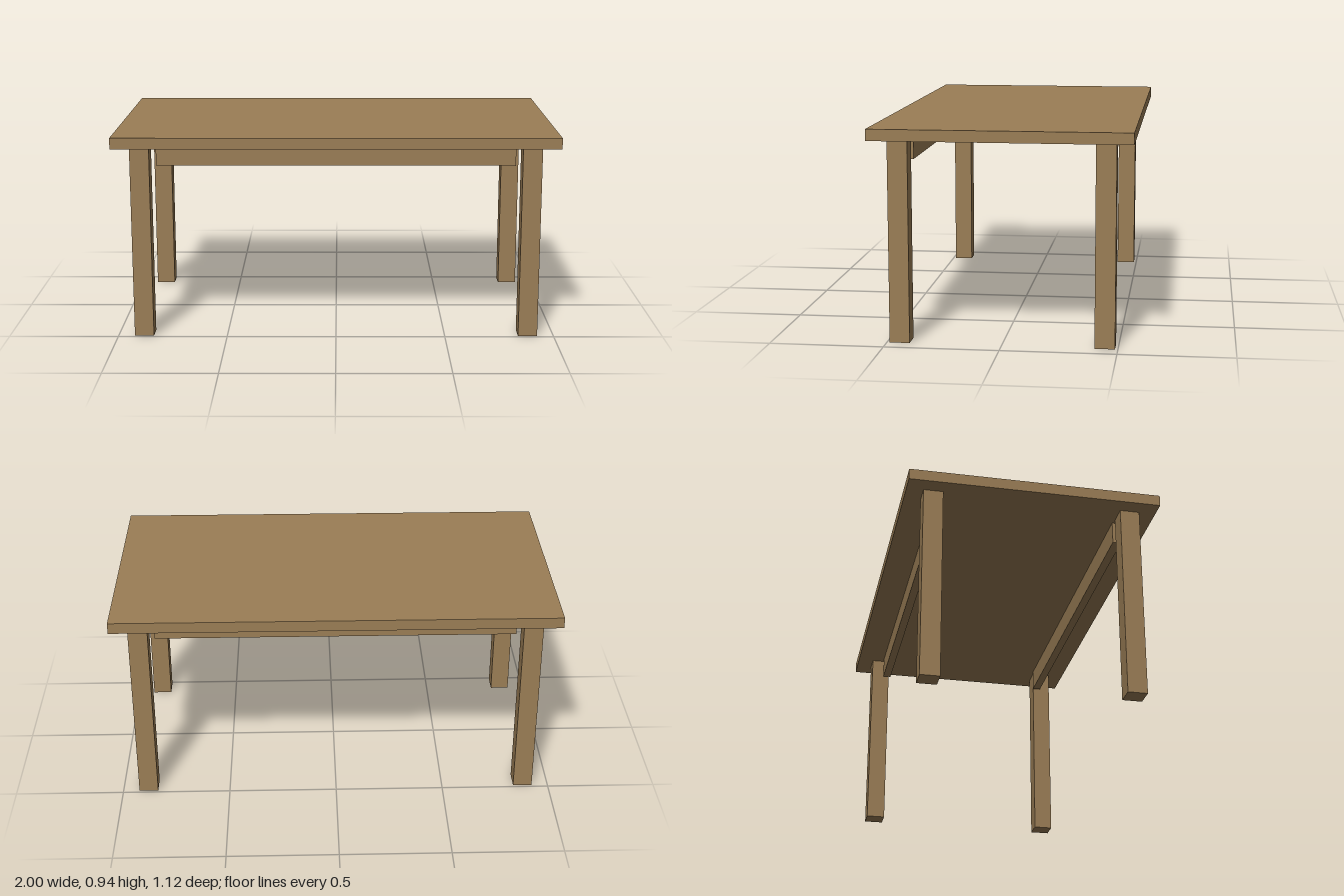
import * as THREE from 'three';

const wood = new THREE.MeshStandardMaterial({ color: 0x9b7e56 });
wood.name = 'wood';

// Box with its centre at x, z and its underside at y
function board(name, [w, h, d], [x, y, z]) {
  const mesh = new THREE.Mesh(new THREE.BoxGeometry(w, h, d), wood);
  mesh.name = name;
  mesh.position.set(x, y + h / 2, z);
  return mesh;
}

export function createModel() {
  const table = new THREE.Group();
  table.name = 'table';

  const legHeight = 0.8875;
  const legWidth = 0.0875;
  const apronHeight = 0.1;

  table.add(board('tabletop', [2, 0.05, 1.125], [0, legHeight, 0]));

  for (const [end, sz] of [['front', 1], ['back', -1]]) {
    // Legs, inset from the corners
    for (const [side, sx] of [['Left', 1], ['Right', -1]]) {
      table.add(board(`${end}${side}Leg`, [legWidth, legHeight, legWidth],
        [sx * 0.88125, 0, sz * 0.44375]));
    }
    // Long apron, stopping short of the legs
    table.add(board(`${end}Apron`, [1.625, apronHeight, 0.0375],
      [0, legHeight - apronHeight, sz * 0.4125]));
  }

  return table;
}
